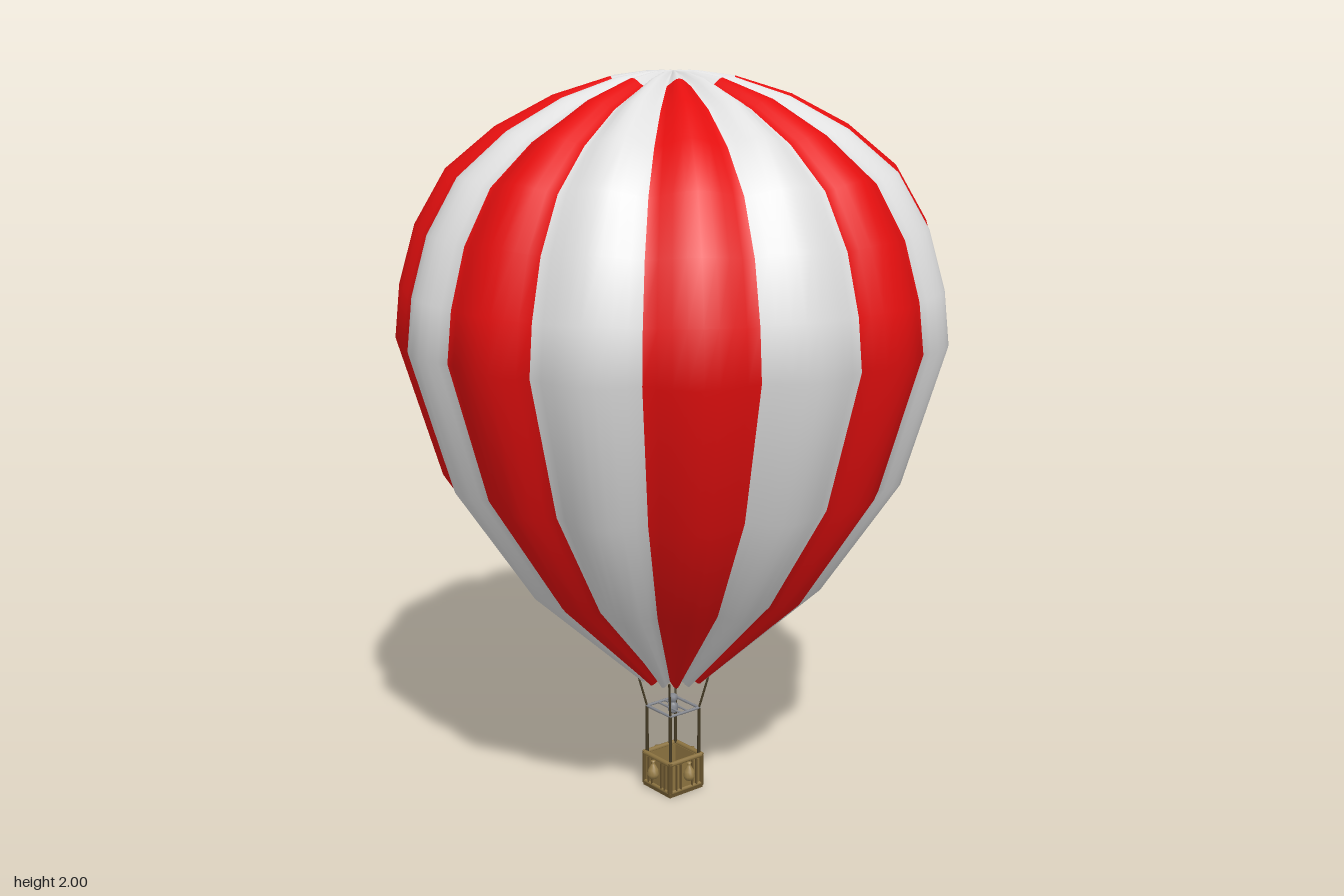
import * as THREE from 'three';

const mat = (name, color, side = THREE.FrontSide) => {
  const m = new THREE.MeshStandardMaterial({ color, side });
  m.name = name;
  return m;
};

export function createModel() {
  const white = mat('white cloth', 0xe0e0e0, THREE.DoubleSide);
  const red = mat('red cloth', 0xe50f0f, THREE.DoubleSide);
  const wicker = mat('wicker', 0x8c7340);
  const trim = mat('dark wicker', 0x66522c);
  const bagCloth = mat('bag cloth', 0x9a804a);
  const rope = mat('rope', 0x443a24);
  const metal = mat('metal', 0x85888f);

  const model = new THREE.Group();
  model.name = 'hotAirBalloon';
  const add = (parent, name, geometry, material, x = 0, y = 0, z = 0) => {
    const mesh = new THREE.Mesh(geometry, material);
    mesh.name = name;
    mesh.position.set(x, y, z);
    parent.add(mesh);
    return mesh;
  };
  // Round bar between two points
  const bar = (parent, name, a, b, radius, material) => {
    const from = new THREE.Vector3(...a), to = new THREE.Vector3(...b);
    const dir = to.clone().sub(from);
    const mesh = add(parent, name, new THREE.CylinderGeometry(radius, radius, dir.length(), 8), material);
    mesh.position.copy(from).add(to).multiplyScalar(0.5);
    mesh.quaternion.setFromUnitVectors(new THREE.Vector3(0, 1, 0), dir.normalize());
  };

  // Envelope: seam radius, height and how far each gore bulges along the normal
  const profile = [
    [0.082, 0.35, 0.02], [0.395, 0.648, 0.026], [0.597, 0.955, 0.028], [0.705, 1.32, 0.028],
    [0.69, 1.45, 0.028], [0.647, 1.6, 0.028], [0.568, 1.735, 0.028], [0.445, 1.837, 0.027],
    [0.3, 1.915, 0.025], [0.155, 1.965, 0.02], [0.07, 1.986, 0.011], [0, 1.998, 0],
  ];
  const gores = 16, steps = 8, columns = gores * steps, capRow = 9;
  const positions = [], whiteFaces = [], redFaces = [];
  profile.forEach(([r, y, bulge], j) => {
    const below = profile[Math.max(j - 1, 0)];
    const above = profile[Math.min(j + 1, profile.length - 1)];
    const dr = above[0] - below[0], dy = above[1] - below[1], len = Math.hypot(dr, dy);
    for (let i = 0; i < columns; i++) {
      const a = (i / columns) * Math.PI * 2;
      const push = bulge * Math.pow(Math.sin(((i % steps) / steps) * Math.PI), 1.4);
      const radius = r + (push * dy) / len;
      positions.push(Math.cos(a) * radius, y - (push * dr) / len, Math.sin(a) * radius);
    }
  });
  for (let j = 0; j < profile.length - 1; j++) {
    for (let i = 0; i < columns; i++) {
      const next = (i + 1) % columns;
      const a = j * columns + i, b = j * columns + next;
      const c = b + columns, d = a + columns;
      const isRed = Math.floor(i / steps) % 2 === 1 && j < capRow;
      const faces = isRed ? redFaces : whiteFaces;
      faces.push(a, d, b);
      if (j < profile.length - 2) faces.push(b, d, c);
    }
  }
  const cloth = new THREE.BufferGeometry();
  cloth.setAttribute('position', new THREE.Float32BufferAttribute(positions, 3));
  cloth.setIndex([...whiteFaces, ...redFaces]);
  cloth.addGroup(0, whiteFaces.length, 0);
  cloth.addGroup(whiteFaces.length, redFaces.length, 1);
  cloth.computeVertexNormals();
  add(model, 'envelope', cloth, [white, red]);

  // Basket: floor, four matching walls, posts
  const basket = new THREE.Group();
  basket.name = 'basket';
  model.add(basket);
  add(basket, 'floor', new THREE.BoxGeometry(0.12, 0.012, 0.12), trim, 0, 0.006, 0);
  const bagShape = [[0, 0], [0.012, 0.002], [0.017, 0.014], [0.014, 0.028], [0.006, 0.042], [0.004, 0.048], [0.007, 0.054], [0, 0.054]]
    .map(([x, y]) => new THREE.Vector2(x, y));
  for (let k = 0; k < 4; k++) {
    const wall = new THREE.Group();
    wall.name = 'basketSide';
    wall.rotation.y = (k * Math.PI) / 2;
    basket.add(wall);
    add(wall, 'panel', new THREE.BoxGeometry(0.116, 0.09, 0.008), wicker, 0, 0.052, 0.054);
    bar(wall, 'topRim', [-0.06, 0.1, 0.057], [0.06, 0.1, 0.057], 0.007, wicker);
    bar(wall, 'bottomRim', [-0.06, 0.014, 0.057], [0.06, 0.014, 0.057], 0.006, wicker);
    for (const x of [-0.036, -0.021, 0.021, 0.036])
      add(wall, 'rib', new THREE.BoxGeometry(0.005, 0.078, 0.004), trim, x, 0.054, 0.06);
    add(wall, 'sandbag', new THREE.LatheGeometry(bagShape, 12), bagCloth, 0, 0.044, 0.072);
    bar(wall, 'cornerPost', [0.057, 0.008, 0.057], [0.057, 0.104, 0.057], 0.007, trim);
  }

  // Rigging and burner frame
  const rigging = new THREE.Group();
  rigging.name = 'rigging';
  model.add(rigging);
  for (const x of [-1, 1]) {
    for (const z of [-1, 1]) {
      bar(rigging, 'upright', [x * 0.052, 0.1, z * 0.052], [x * 0.052, 0.242, z * 0.052], 0.0045, rope);
      bar(rigging, 'upperRope', [x * 0.052, 0.242, z * 0.052], [x * 0.073, 0.35, z * 0.073], 0.003, rope);
    }
    bar(rigging, 'frameBar', [x * 0.052, 0.242, -0.055], [x * 0.052, 0.242, 0.055], 0.004, metal);
    bar(rigging, 'frameBar', [-0.055, 0.242, x * 0.052], [0.055, 0.242, x * 0.052], 0.004, metal);
    bar(rigging, 'burnerRail', [x * 0.012, 0.242, -0.052], [x * 0.012, 0.242, 0.052], 0.003, metal);
  }
  const burnerShape = [[0, 0.225], [0.009, 0.225], [0.014, 0.232], [0.014, 0.25], [0.008, 0.254], [0.008, 0.26], [0.013, 0.264], [0.013, 0.276], [0.008, 0.28], [0, 0.28]]
    .map(([x, y]) => new THREE.Vector2(x, y));
  add(rigging, 'burner', new THREE.LatheGeometry(burnerShape, 16), metal);

  return model;
}
